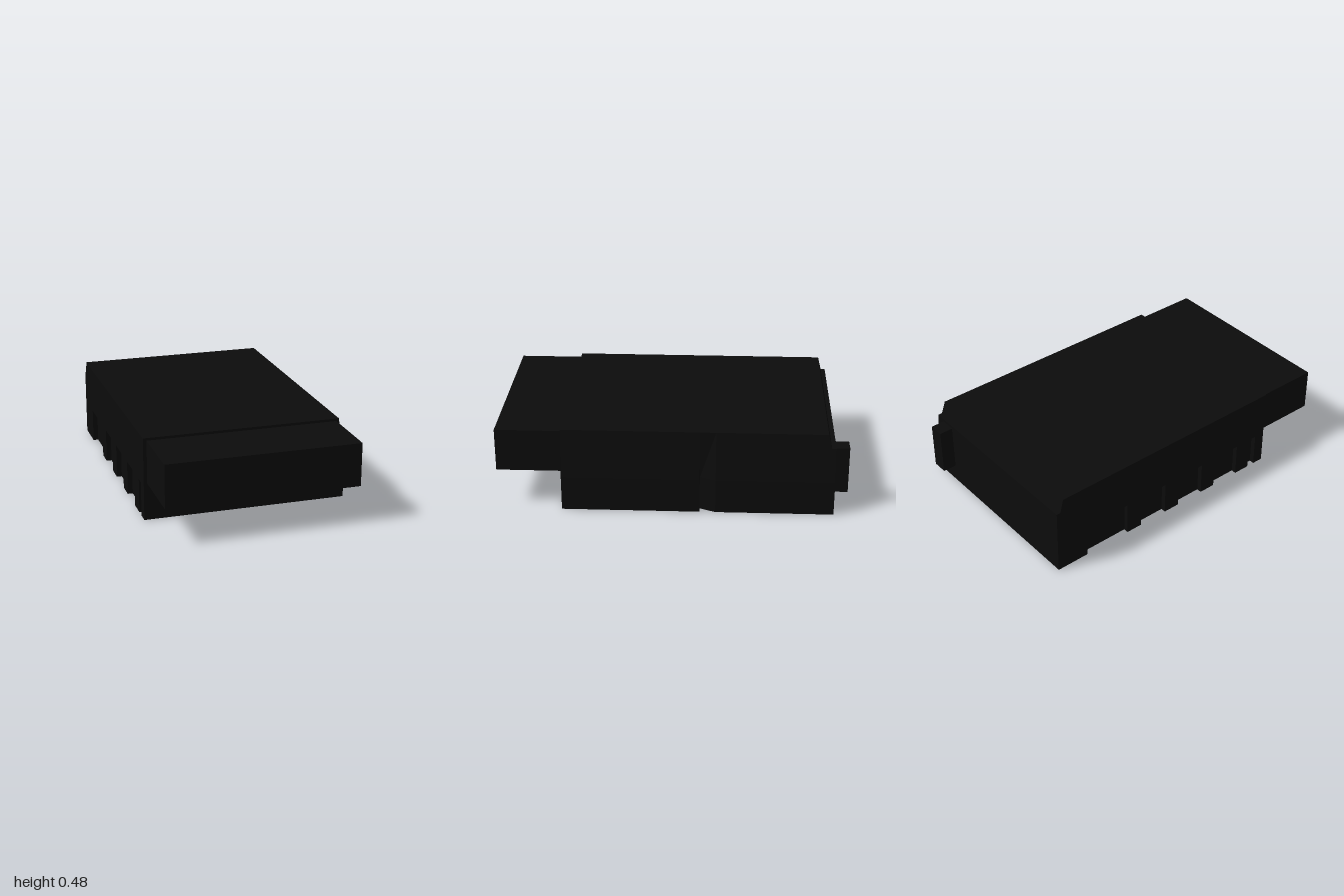
import * as THREE from 'three';

export function createModel() {
  const model = new THREE.Group();
  const black = new THREE.MeshStandardMaterial({ color: 0x0c0c0c });
  black.name = 'matte black';

  function add(name, geometry) {
    const mesh = new THREE.Mesh(geometry, black);
    mesh.name = name;
    model.add(mesh);
  }

  // Block given by its limits on each axis
  function block(name, x0, x1, y0, y1, z0, z1) {
    const g = new THREE.BoxGeometry(x1 - x0, y1 - y0, z1 - z0);
    g.translate((x0 + x1) / 2, (y0 + y1) / 2, (z0 + z1) / 2);
    add(name, g);
  }

  // Side profile of [z, y] points extruded across x, with an optional rule for x
  function slab(name, points, x0, x1, rule) {
    const shape = new THREE.Shape(points.map(([z, y]) => new THREE.Vector2(-z, y)));
    const g = new THREE.ExtrudeGeometry(shape, { depth: x1 - x0, bevelEnabled: false });
    g.rotateY(Math.PI / 2).translate(x0, 0, 0);
    if (rule) {
      const p = g.attributes.position;
      for (let i = 0; i < p.count; i++) p.setX(i, rule(p.getX(i), p.getY(i), p.getZ(i)));
      g.computeVertexNormals();
    }
    add(name, g);
  }
  const rect = (z0, z1, y0, y1) => [[z0, y0], [z1, y0], [z1, y1], [z0, y1]];

  // Main housing with a stepped, sloping upper back edge
  slab('housing', [[0.625, 0], [0.625, 0.48], [-0.875, 0.48], [-0.895, 0.4], [-0.92, 0.4], [-0.92, 0]], -0.56, 0.55);

  // Left side: lower wall upright, upper wall leaning in, with a ramped notch
  const lean = (x, y, z) => {
    if (x < 0.57) return x;
    const width = 0.04 * (1 - Math.max(0, y - 0.2) / 0.28);
    const ramp = z > -0.251 && z < -0.159 ? (-0.16 - z) / 0.09 : 1;
    return 0.55 + width * ramp;
  };
  const front = (x, y) => lean(x, y, 0);
  slab('leftFrontLowerWall', rect(-0.16, 0.625, 0, 0.2), 0.55, 0.59, front);
  slab('leftFrontUpperWall', rect(-0.16, 0.625, 0.2, 0.48), 0.55, 0.59, front);
  slab('leftNotchRampLower', rect(-0.25, -0.16, 0, 0.2), 0.55, 0.59, lean);
  slab('leftNotchRampUpper', rect(-0.25, -0.16, 0.2, 0.48), 0.55, 0.59, lean);
  const back = (x, y) => lean(x, y, -1);
  slab('leftBackLowerWall', rect(-0.92, -0.25, 0, 0.2), 0.55, 0.59, back);
  slab('leftBackUpperWall', [[-0.25, 0.2], [-0.25, 0.48], [-0.875, 0.48], [-0.895, 0.4], [-0.92, 0.4], [-0.92, 0.2]],
    0.55, 0.59, back);

  // Right side: solid upper wall over a row of ribs
  slab('rightUpperWall', [[0.625, 0.2], [0.625, 0.48], [-0.875, 0.48], [-0.895, 0.4], [-0.92, 0.4], [-0.92, 0.2]],
    -0.59, -0.56);
  block('rightBackPost', -0.59, -0.56, 0, 0.2, -0.92, -0.72);
  for (let i = 0; i < 4; i++) {
    const z = -0.38 + i * 0.28;
    block('rightRib', -0.59, -0.56, 0, 0.2, z - 0.05, z + 0.05);
  }
  block('rightFrontPost', -0.59, -0.56, 0, 0.2, 0.56, 0.625);

  // Plug tongue at the front and latch at the back
  block('frontTongue', -0.57, 0.535, 0.215, 0.465, 0.6, 1);
  block('backLatch', 0.42, 0.51, 0.105, 0.38, -1, -0.9);

  return model;
}
